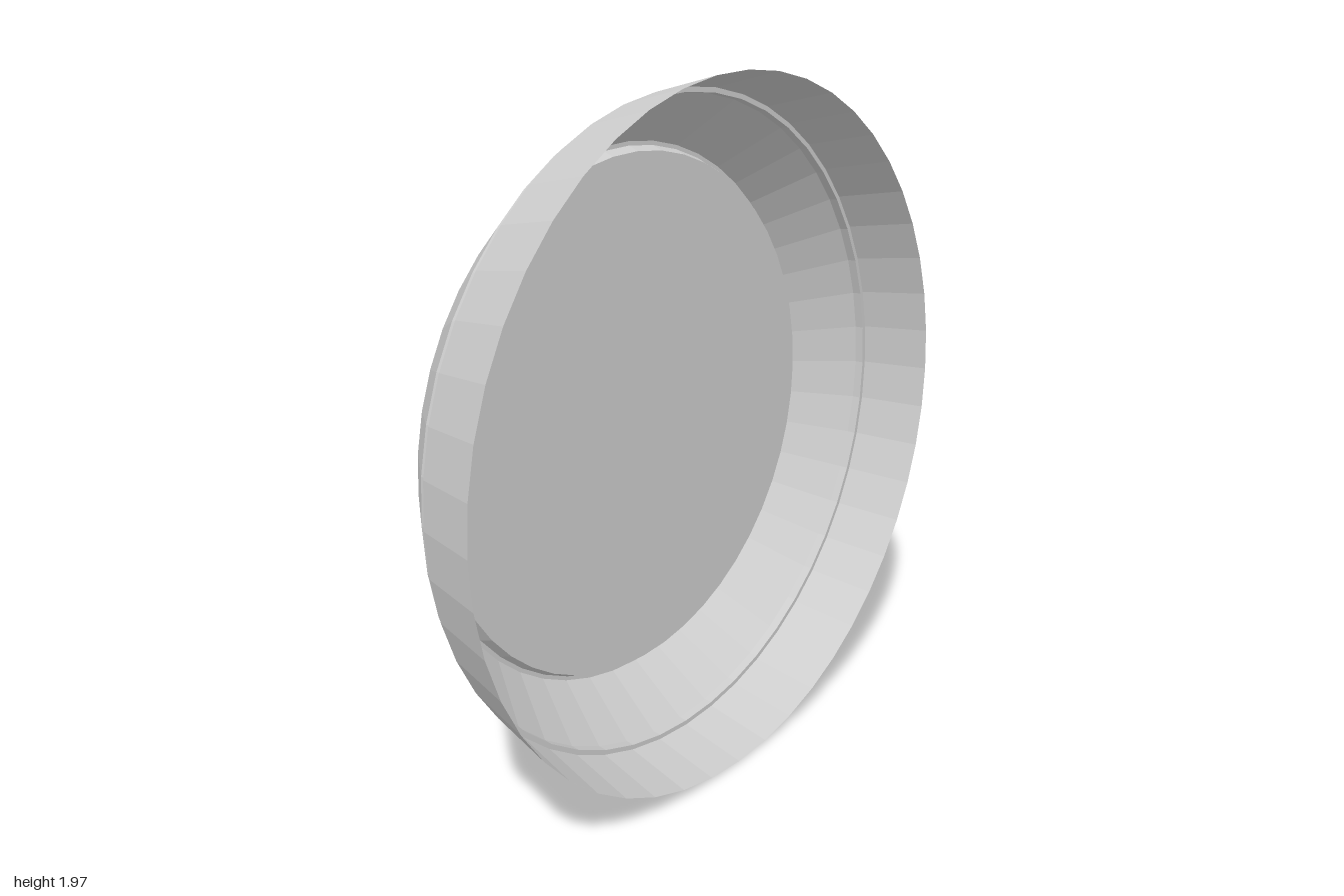
import * as THREE from 'three';

const SEGMENTS = 48;
const HALF_HEIGHT = 0.983; // the dish is slightly shorter than it is wide

export function createModel() {
  const model = new THREE.Group();
  model.name = 'dish';

  const grey = new THREE.MeshStandardMaterial({ color: 0xcccccc });
  grey.name = 'light grey';
  grey.flatShading = true;
  grey.side = THREE.DoubleSide;

  // Revolve a profile of [x along the axis, radius] around the x axis
  function addRing(name, profile) {
    const points = profile.map(([x, r]) => new THREE.Vector2(r, x));
    const geometry = new THREE.LatheGeometry(points, SEGMENTS);
    geometry.rotateZ(-Math.PI / 2);
    geometry.scale(1, HALF_HEIGHT, 1);
    geometry.translate(0, HALF_HEIGHT, 0);
    const mesh = new THREE.Mesh(geometry, grey);
    mesh.name = name;
    model.add(mesh);
  }

  // Wide open rim with the small step where it meets the lower wall
  addRing('rim', [[0, 0.937], [0, 0.951], [0.2, 1]]);

  // Steeper wall with a short band below the step
  addRing('wall', [[-0.2, 0.797], [-0.026, 0.935], [0, 0.937]]);

  // Narrow foot turning back in to the recessed base
  addRing('foot', [[-0.168, 0.772], [-0.2, 0.785], [-0.2, 0.797]]);

  // Flat base disc
  const base = new THREE.CircleGeometry(0.772, SEGMENTS);
  base.rotateY(Math.PI / 2);
  base.scale(1, HALF_HEIGHT, 1);
  base.translate(-0.168, HALF_HEIGHT, 0);
  const baseMesh = new THREE.Mesh(base, grey);
  baseMesh.name = 'base';
  model.add(baseMesh);

  return model;
}
